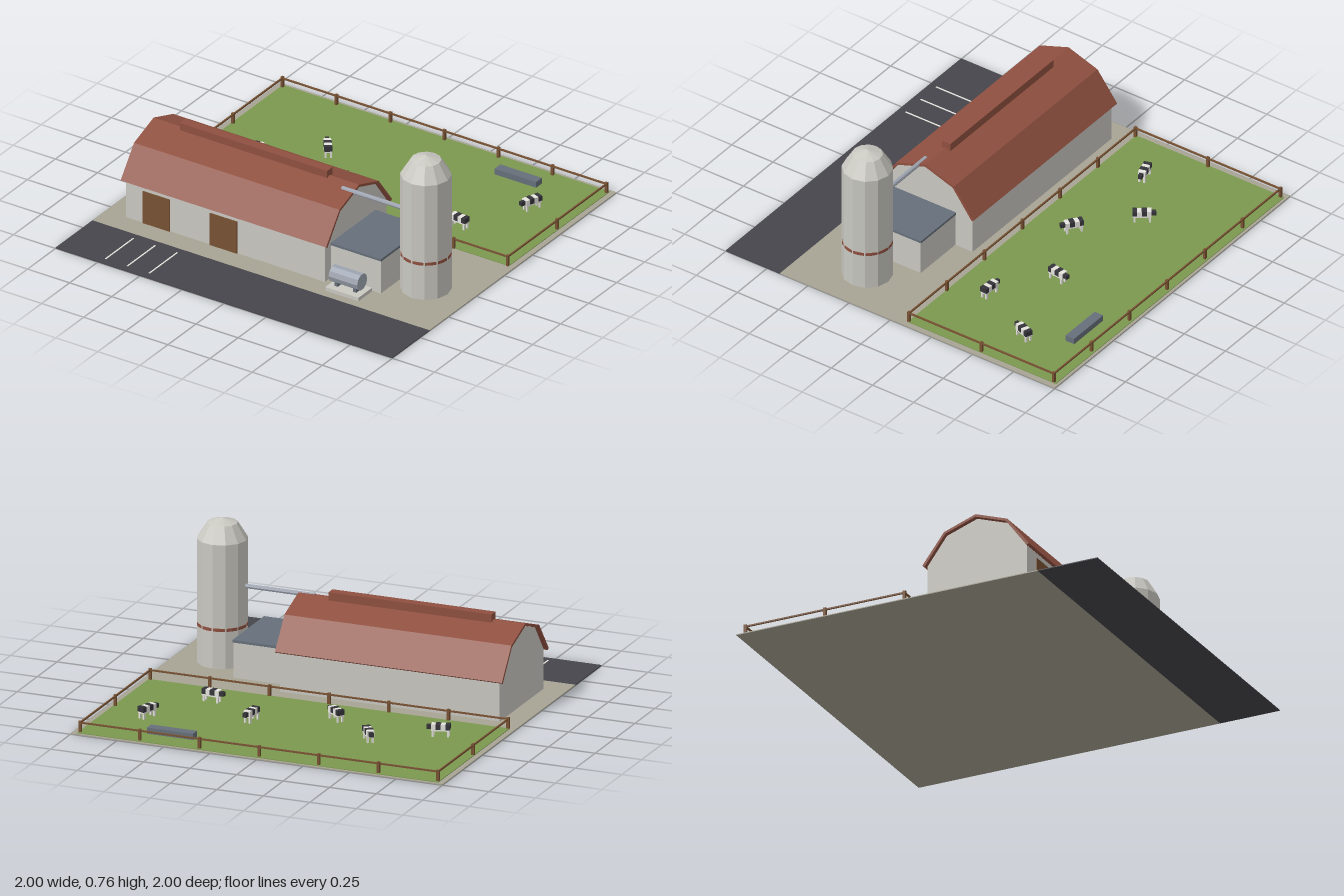
import * as THREE from 'three';

const paint = (name, color) => {
  const m = new THREE.MeshStandardMaterial({ color, flatShading: true });
  m.name = name;
  return m;
};

export function createModel() {
  const farm = new THREE.Group();
  farm.name = 'farm';
  const sand = paint('sand', 0xa8a494);
  const asphalt = paint('asphalt', 0x46454b);
  const grass = paint('grass', 0x7a984e);
  const plaster = paint('plaster', 0xc9c8c1);
  const tile = paint('roofRed', 0x8f5040);
  const wood = paint('wood', 0x785233);
  const slate = paint('slate', 0x66707a);
  const metal = paint('metal', 0x9ea4b0);
  const white = paint('white', 0xe6e4de);
  const black = paint('black', 0x35343a);

  const add = (name, geo, mat, parent = farm) => {
    const mesh = new THREE.Mesh(geo, mat);
    mesh.name = name;
    parent.add(mesh);
    return mesh;
  };
  // Box given by its lower and upper limits on each axis
  const box = (name, mat, [x0, x1], [y0, y1], [z0, z1], parent) =>
    add(name, new THREE.BoxGeometry(x1 - x0, y1 - y0, z1 - z0)
      .translate((x0 + x1) / 2, (y0 + y1) / 2, (z0 + z1) / 2), mat, parent);
  const group = (name) => {
    const g = new THREE.Group();
    g.name = name;
    farm.add(g);
    return g;
  };

  // Ground
  box('yardGround', sand, [-1, 1], [0, 0.005], [-1, 0.67]);
  box('road', asphalt, [-1, 1], [0, 0.005], [0.67, 1]);
  box('pasture', grass, [-0.97, 0.97], [0.004, 0.008], [-0.985, -0.085]);
  for (const x of [-0.73, -0.6, -0.47])
    box('parkingLine', white, [x - 0.004, x + 0.004], [0.004, 0.007], [0.71, 0.96]);

  // Barn: gambrel sections extruded along x, centred on z = 0.275
  const barn = group('barn');
  const extrudeX = (name, pts, x0, x1, mat) => {
    const shape = new THREE.Shape(pts.map(([s, y]) => new THREE.Vector2(s - 0.275, y)));
    const geo = new THREE.ExtrudeGeometry(shape, { depth: x1 - x0, bevelEnabled: false });
    return add(name, geo.rotateY(Math.PI / 2).translate(x0, 0, 0), mat, barn);
  };
  const mirror = (pts) => pts.slice().reverse().map(([s, y]) => [-s, y]);
  const wall = [[0.275, 0.004], [0.275, 0.215], [0.168, 0.359]];
  extrudeX('barnWalls', [...wall, [0, 0.417], ...mirror(wall)], -0.88, 0.3, plaster);
  const outer = [[0.295, 0.215], [0.175, 0.373], [0, 0.434]];
  const inner = [[0, 0.42], [0.168, 0.362], [0.283, 0.207]];
  extrudeX('barnRoof', [...outer, ...mirror(outer).slice(1), ...mirror(inner), ...inner.slice(1)],
    -0.9, 0.32, tile);
  box('ridgeVent', tile, [-0.73, 0.145], [0.415, 0.467], [0.247, 0.297], barn);
  for (const x of [-0.7, -0.3])
    box('barnDoor', wood, [x - 0.08, x + 0.08], [0.005, 0.185], [0.549, 0.556], barn);

  // Milk house beside the barn
  const annex = group('annex');
  box('annexWalls', plaster, [0.3, 0.595], [0.004, 0.19], [0.105, 0.495], annex);
  box('annexRoof', slate, [0.3, 0.6], [0.19, 0.203], [0.1, 0.5], annex);

  // Tank lying on a pad
  const tank = group('milkTank');
  box('tankPad', plaster, [0.35, 0.547], [0.004, 0.025], [0.5, 0.622], tank);
  add('tankBody', new THREE.CylinderGeometry(0.045, 0.045, 0.17, 10)
    .rotateZ(Math.PI / 2).translate(0.445, 0.082, 0.563), metal, tank);
  for (const x of [0.39, 0.5])
    box('tankCradle', slate, [x - 0.01, x + 0.01], [0.025, 0.05], [0.54, 0.586], tank);

  // Silo with a band and a feed pipe
  const silo = group('silo');
  const profile = [[0.128, 0.004], [0.128, 0.65], [0.077, 0.732], [0, 0.757]]
    .map(([r, y]) => new THREE.Vector2(r, y));
  add('siloBody', new THREE.LatheGeometry(profile, 12).translate(0.747, 0, 0.32), plaster, silo);
  add('siloBand', new THREE.CylinderGeometry(0.1275, 0.1275, 0.016, 24)
    .translate(0.747, 0.207, 0.32), tile, silo);
  add('feedPipe', new THREE.CylinderGeometry(0.012, 0.012, 0.45, 8)
    .rotateZ(Math.PI / 2).translate(0.475, 0.414, 0.32), metal, silo);

  // Pasture fence
  const fence = group('fence');
  const [fx, back, front] = [0.962, -0.967, -0.087];
  const post = (x, z) =>
    box('fencePost', wood, [x - 0.007, x + 0.007], [0.005, 0.065], [z - 0.007, z + 0.007], fence);
  for (const z of [back, front]) {
    for (let i = -3; i <= 3; i++) post((i * fx) / 3, z);
    box('fenceRail', wood, [-fx, fx], [0.052, 0.06], [z - 0.004, z + 0.004], fence);
  }
  for (const x of [-fx, fx]) {
    post(x, (back + front) / 2);
    box('fenceRail', wood, [x - 0.004, x + 0.004], [0.052, 0.06], [back, front], fence);
  }

  box('feedTrough', slate, [0.4, 0.647], [0.006, 0.04], [-0.865, -0.813]);

  // Cows: centre x, z and the direction in which the head points
  const cows = [
    [-0.695, -0.33, 0.11, -0.03], [-0.405, -0.535, -0.075, -0.1], [-0.125, -0.3, 0.1, 0.075],
    [0.25, -0.488, 0.015, -0.115], [0.54, -0.28, -0.12, -0.01], [0.742, -0.622, -0.045, 0.115],
  ];
  for (const [x, z, dx, dz] of cows) {
    const cow = group('cow');
    cow.position.set(x, 0, z);
    cow.rotation.y = Math.atan2(-dz, dx);
    box('cowBody', white, [-0.055, 0.038], [0.038, 0.072], [-0.019, 0.019], cow);
    box('cowRumpPatch', black, [-0.056, -0.034], [0.046, 0.073], [-0.02, 0.02], cow);
    box('cowSidePatch', black, [-0.01, 0.016], [0.046, 0.073], [-0.02, 0.02], cow);
    box('cowHead', black, [0.036, 0.062], [0.045, 0.067], [-0.01, 0.01], cow);
    for (const lx of [-0.046, 0.03]) for (const lz of [-0.013, 0.013])
      box('cowLeg', white, [lx - 0.005, lx + 0.005], [0.006, 0.04], [lz - 0.005, lz + 0.005], cow);
  }
  return farm;
}
